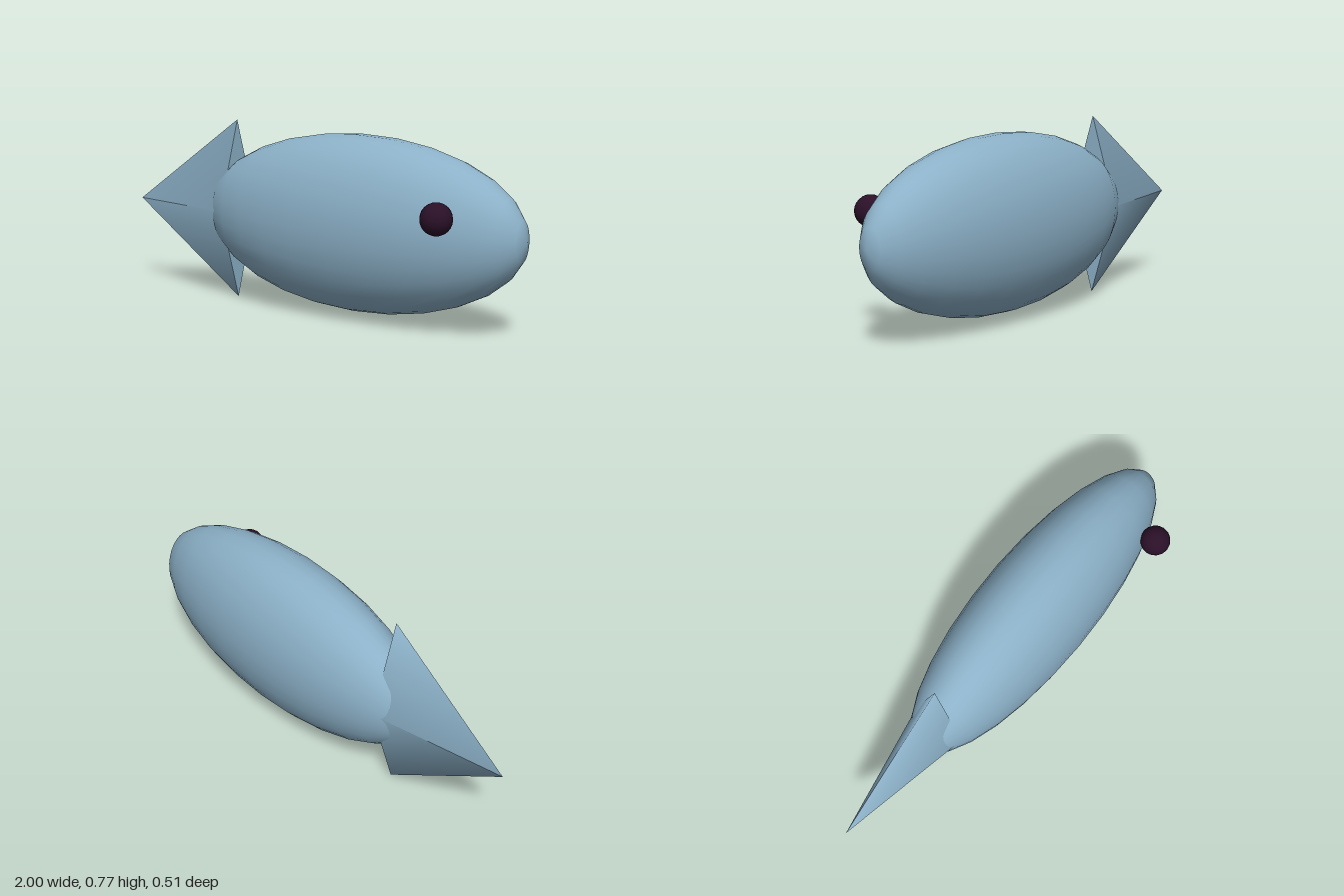
import * as THREE from 'three';

export function createModel() {
  const model = new THREE.Group();
  const skin = new THREE.MeshStandardMaterial({ color: 0x8cb1c8 });
  skin.name = 'blue grey skin';
  const dark = new THREE.MeshStandardMaterial({ color: 0x2a1028 });
  dark.name = 'dark eye';

  const midY = 0.39, midZ = -0.024;
  const add = (name, geometry, material, x, y, z) => {
    const mesh = new THREE.Mesh(geometry, material);
    mesh.name = name;
    mesh.position.set(x, y, z);
    model.add(mesh);
  };

  // Body: ellipsoid with its poles at nose and tail
  const body = new THREE.SphereGeometry(1, 30, 14);
  body.rotateZ(-Math.PI / 2).rotateX(Math.PI / 30);
  body.scale(0.775, 0.362, 0.232);
  add('body', body, skin, 0.222, midY, midZ);

  // Tail: flattened four-sided cone pointing backwards
  const tail = new THREE.ConeGeometry(0.386, 0.58, 4);
  tail.rotateZ(Math.PI / 2).scale(1, 1, 0.3);
  add('tail', tail, skin, -0.71, midY, midZ);

  // Single eye on the front side
  add('eye', new THREE.SphereGeometry(0.063, 16, 12), dark, 0.738, 0.48, 0.196);

  return model;
}
